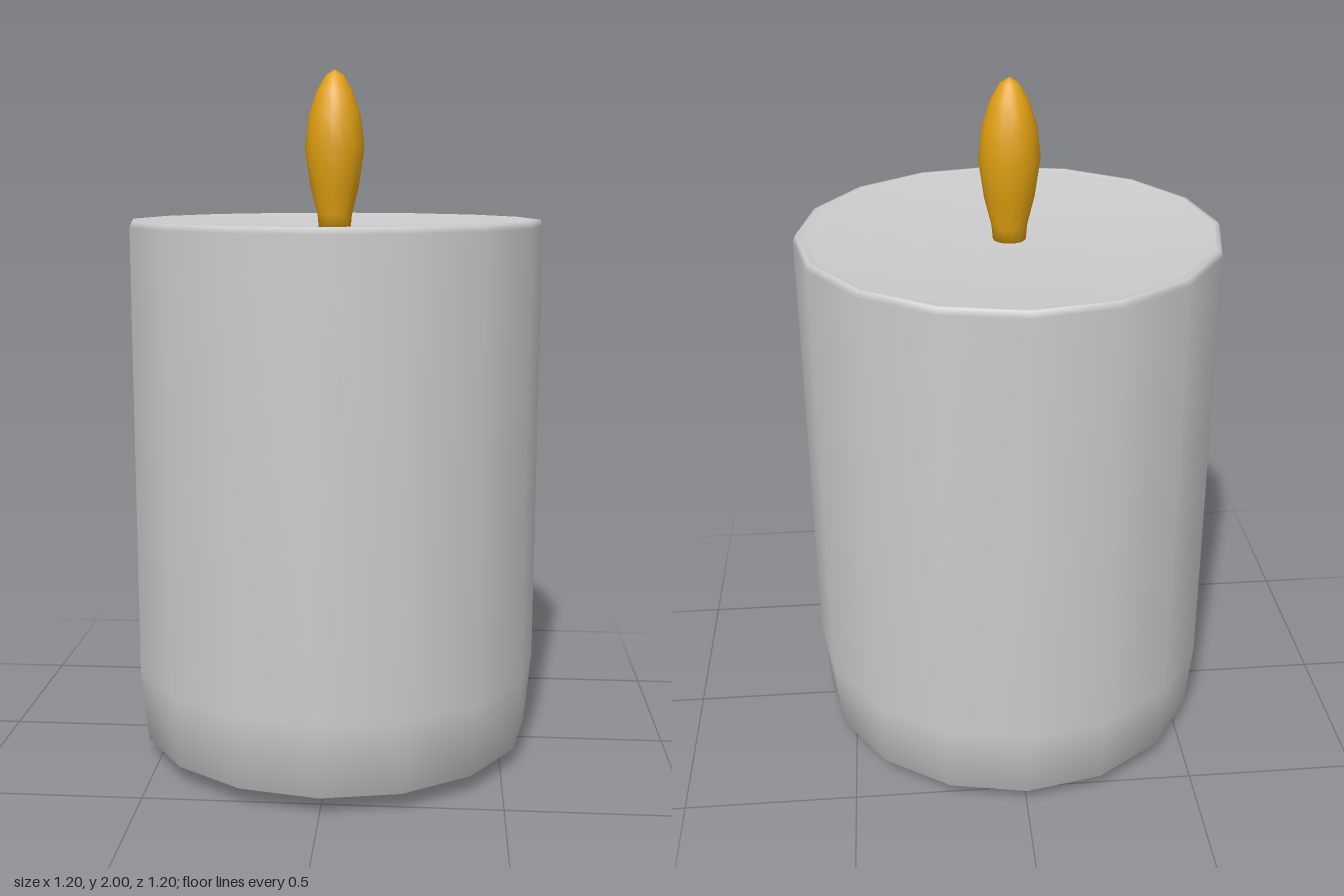
import * as THREE from 'three';

const SIDES = 16;

// Smooth turned part from [radius, height] pairs, listed bottom to top
function turned(name, profile, color) {
  const points = profile.map(([r, y]) => new THREE.Vector2(r, y));
  const mesh = new THREE.Mesh(
    new THREE.LatheGeometry(points, SIDES),
    new THREE.MeshStandardMaterial({ color })
  );
  mesh.name = name;
  return mesh;
}

export function createModel() {
  const candle = new THREE.Group();
  candle.name = 'candle';

  // Wax body: chamfered foot, straight wall, thin rounded rim, slightly dished top
  candle.add(turned('waxBody', [
    [0, 0], [0.49, 0.012], [0.58, 0.055], [0.6, 0.27],
    [0.6, 1.56], [0.593, 1.577], [0.58, 1.578], [0.565, 1.57],
    [0.3, 1.553], [0.08, 1.545], [0.05, 1.55], [0, 1.55],
  ], 0xcccccc));

  // Flame: narrow neck, widest below the middle, pointed tip
  candle.add(turned('flame', [
    [0, 1.53], [0.045, 1.535], [0.05, 1.59], [0.07, 1.67], [0.086, 1.78],
    [0.075, 1.87], [0.052, 1.94], [0.025, 1.985], [0, 2],
  ], 0xe0a010));

  return candle;
}
